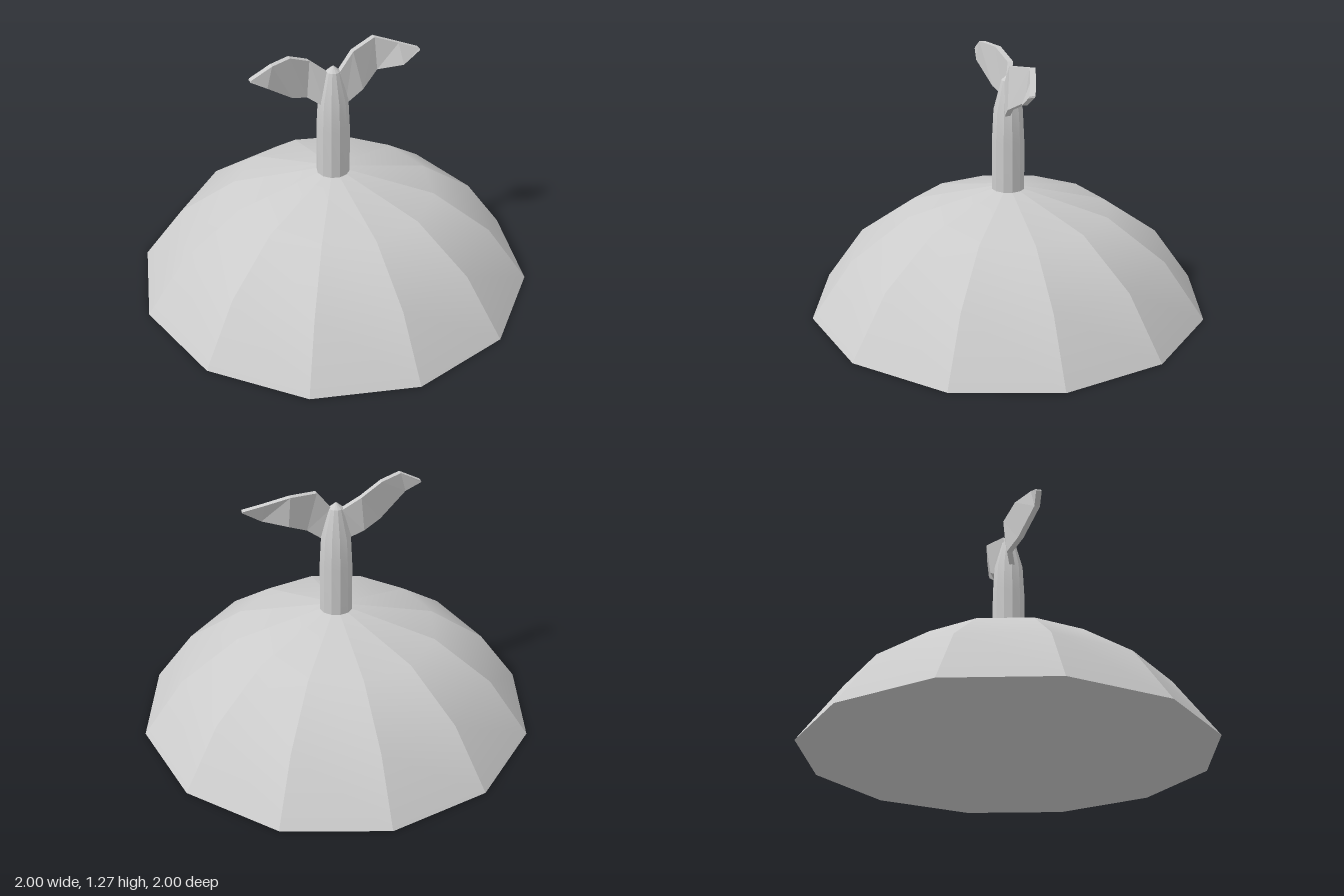
import * as THREE from 'three';
import { mergeGeometries } from 'three/addons/utils/BufferGeometryUtils.js';

const SIDES = 12;

// Twelve-sided turned solid: smooth along the profile, creased between sides.
// Profile runs from bottom to top as [radius, height].
function facetedLathe(profile) {
  const points = profile.map(([r, y]) => new THREE.Vector2(r, y));
  const strips = [];
  for (let i = 0; i < SIDES; i++) {
    const step = (Math.PI * 2) / SIDES;
    const strip = new THREE.LatheGeometry(points, 1, i * step, step);
    strip.computeVertexNormals();
    strips.push(strip);
  }
  return mergeGeometries(strips);
}

// Bent leaf blade built from stations: [lower x, y, z, upper x, y, z].
function leafGeometry(stations, thickness, flip) {
  const h = thickness / 2;
  const positions = [];
  const index = [];
  for (const [ax, ay, az, bx, by, bz] of stations) {
    positions.push(ax, ay, az + h, bx, by, bz + h, bx, by, bz - h, ax, ay, az - h);
  }
  const quad = (a, b, c, d) => {
    if (flip) index.push(a, c, b, a, d, c);
    else index.push(a, b, c, a, c, d);
  };
  for (let i = 0; i < stations.length - 1; i++) {
    for (let k = 0; k < 4; k++) {
      const n = (k + 1) % 4;
      quad(i * 4 + k, i * 4 + 4 + k, i * 4 + 4 + n, i * 4 + n);
    }
  }
  // End caps
  const e = (stations.length - 1) * 4;
  quad(0, 1, 2, 3);
  quad(e + 3, e + 2, e + 1, e);
  const geometry = new THREE.BufferGeometry();
  geometry.setAttribute('position', new THREE.Float32BufferAttribute(positions, 3));
  geometry.setIndex(index);
  const flat = geometry.toNonIndexed();
  flat.computeVertexNormals();
  return flat;
}

export function createModel() {
  const group = new THREE.Group();
  const smooth = new THREE.MeshStandardMaterial({ color: 0xcccccc });
  const flat = new THREE.MeshStandardMaterial({ color: 0xcccccc, flatShading: true });

  const add = (name, geometry, material) => {
    const mesh = new THREE.Mesh(geometry, material);
    mesh.name = name;
    group.add(mesh);
    return mesh;
  };

  // Mound of earth with a flat underside
  add('mound', facetedLathe([[1, 0], [0.795, 0.285], [0.505, 0.49], [0.08, 0.6], [0, 0.605]]), smooth);
  const underside = add('moundUnderside', new THREE.CircleGeometry(1, SIDES), flat);
  underside.rotation.x = Math.PI / 2;

  // Stem, tapering above the leaf joints to a small point
  add('stem', facetedLathe([[0.083, 0.58], [0.082, 0.85], [0.074, 1.0], [0.034, 1.15]]), smooth);
  add('stemTip', facetedLathe([[0.034, 1.15], [0, 1.18]]), smooth);

  // Two leaves, each with its own bend
  add('leftLeaf', leafGeometry([
    [0.05, 0.975, 0.02, 0.025, 1.15, 0.01],
    [0.14, 1.04, 0.025, 0.095, 1.24, 0.005],
    [0.24, 1.1, -0.03, 0.235, 1.262, -0.055],
    [0.36, 1.122, 0.018, 0.35, 1.222, -0.025],
    [0.45, 1.18, 0.01, 0.448, 1.188, 0.005],
  ], 0.028, false), flat);
  add('rightLeaf', leafGeometry([
    [-0.05, 0.975, 0.01, -0.025, 1.145, -0.01],
    [-0.13, 1.03, -0.025, -0.11, 1.212, -0.04],
    [-0.22, 1.065, 0.01, -0.22, 1.265, -0.005],
    [-0.36, 1.17, 0.06, -0.33, 1.272, 0.05],
    [-0.435, 1.212, 0.05, -0.433, 1.22, 0.048],
  ], 0.028, true), flat);

  return group;
}
